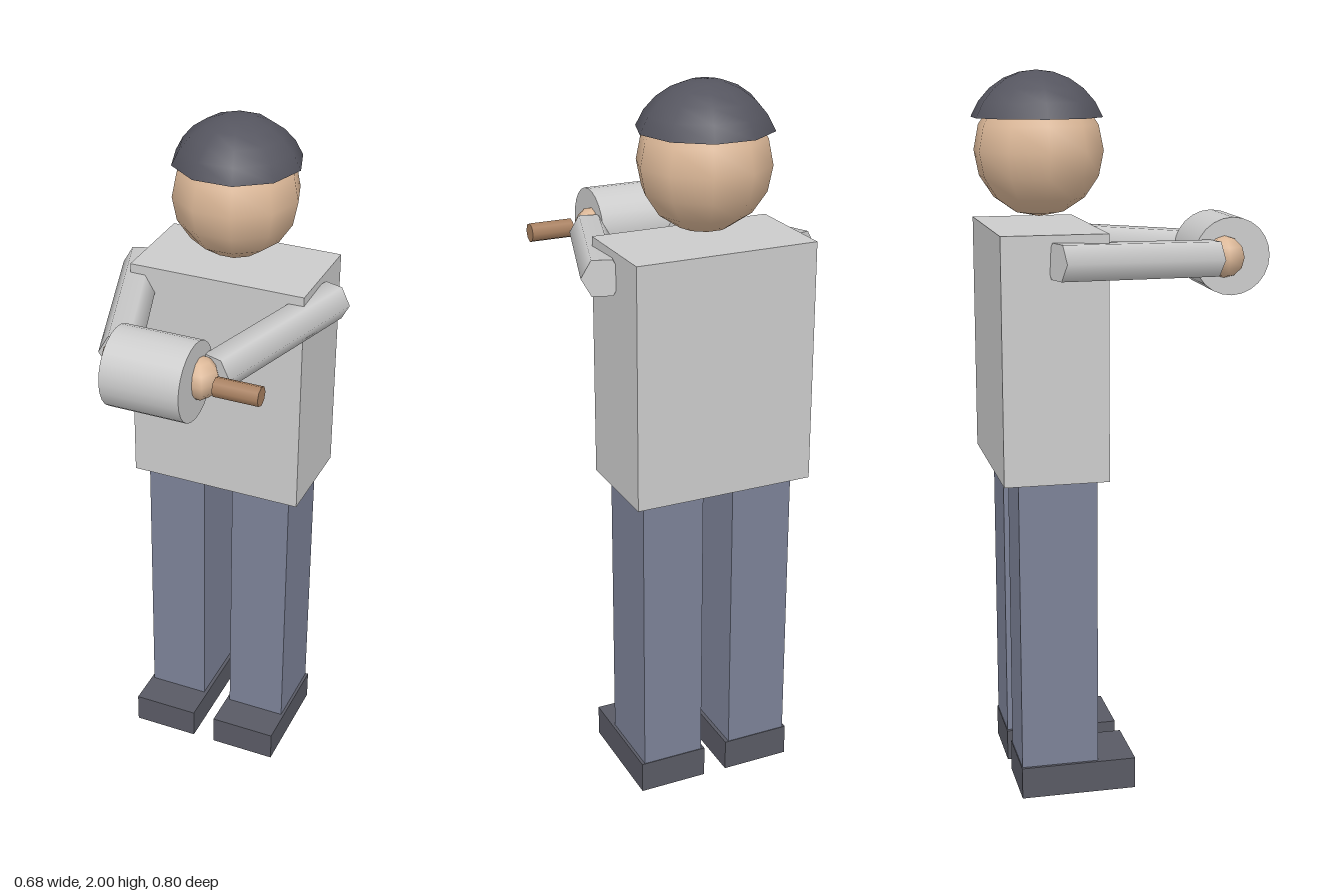
import * as THREE from 'three';

const paint = (color, extra = {}) => new THREE.MeshStandardMaterial({ color, ...extra });

export function createModel() {
  const model = new THREE.Group();
  const grey = paint(0xcccccc);
  const skin = paint(0xdcb898);
  const trousers = paint(0x7c8297);
  const shoeMat = paint(0x595a64);
  const capMat = paint(0x55555f, { side: THREE.DoubleSide });
  const wood = paint(0xa88060);

  const add = (name, geometry, material, x, y, z) => {
    const mesh = new THREE.Mesh(geometry, material);
    mesh.name = name;
    mesh.position.set(x, y, z);
    model.add(mesh);
    return mesh;
  };

  // Body, head and cap
  add('torso', new THREE.BoxGeometry(0.51, 0.67, 0.288), grey, 0, 1.25, -0.23);
  add('head', new THREE.SphereGeometry(0.178, 10, 8), skin, 0, 1.787, -0.226);
  add('cap', new THREE.SphereGeometry(0.193, 10, 5, 0, Math.PI * 2, 0, Math.PI * 0.385),
    capMat, 0, 1.807, -0.23);

  // Limbs, mirrored left and right
  for (const [side, s] of [['left', 1], ['right', -1]]) {
    add(side + 'Leg', new THREE.BoxGeometry(0.177, 0.9, 0.217), trousers, s * 0.133, 0.465, -0.222);
    add(side + 'Shoe', new THREE.BoxGeometry(0.196, 0.09, 0.325), shoeMat, s * 0.132, 0.045, -0.17);

    // Six-sided arm, one pair of corners level with the ground
    const shoulder = new THREE.Vector3(s * 0.288, 1.518, -0.232);
    const wrist = new THREE.Vector3(s * 0.133, 1.497, 0.236);
    const armGeo = new THREE.CylinderGeometry(0.055, 0.055, shoulder.distanceTo(wrist), 6);
    armGeo.rotateY(Math.PI / 6); // corners onto the x axis
    armGeo.rotateX(Math.PI / 2);
    const middle = shoulder.clone().lerp(wrist, 0.5);
    add(side + 'Arm', armGeo, grey, middle.x, middle.y, middle.z).lookAt(wrist);

    add(side + 'Hand', new THREE.SphereGeometry(0.058, 6, 6), skin, s * 0.109, 1.497, 0.27);
  }

  // Drum held between the hands, with its crank handle
  const drum = new THREE.CylinderGeometry(0.108, 0.108, 0.22, 24).rotateZ(Math.PI / 2);
  add('drum', drum, grey, 0, 1.497, 0.293);
  const handle = new THREE.CylinderGeometry(0.027, 0.027, 0.124, 8).rotateZ(Math.PI / 2);
  add('handle', handle, wood, 0.227, 1.497, 0.294);

  return model;
}
